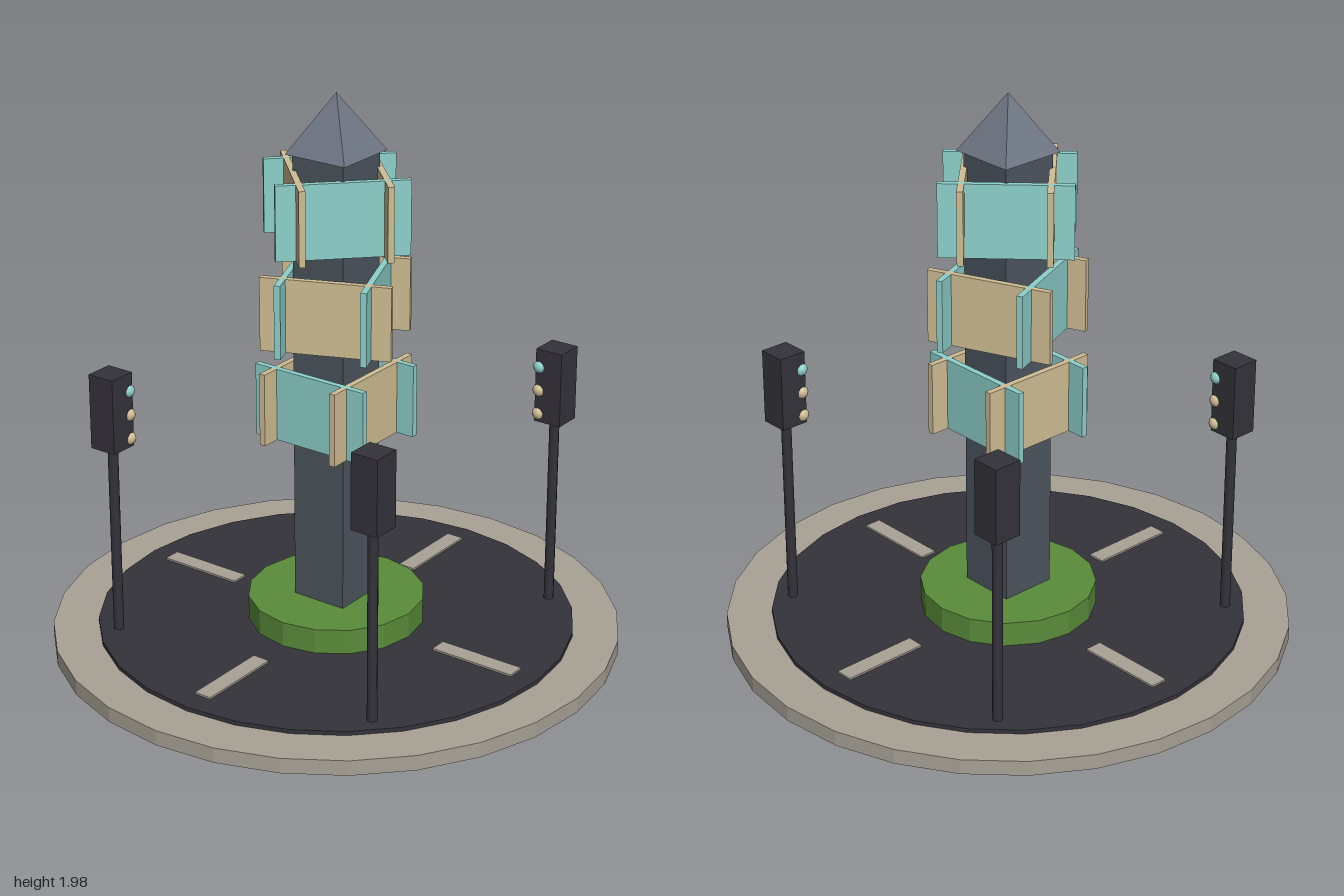
import * as THREE from 'three';

const mat = (name, color) => {
  const m = new THREE.MeshStandardMaterial({ color });
  m.name = name;
  return m;
};

export function createModel() {
  const stone = mat('stone', 0xa8a296);
  const asphalt = mat('asphalt', 0x35333b);
  const grass = mat('grass', 0x5a8c3a);
  const steel = mat('steel', 0x4c555e);
  const slate = mat('slate', 0x6f7684);
  const teal = mat('teal', 0x8dd0cb);
  const sand = mat('sand', 0xd0be93);

  const model = new THREE.Group();
  model.name = 'roundabout';

  const add = (parent, name, geometry, material, x = 0, y = 0, z = 0) => {
    const mesh = new THREE.Mesh(geometry, material);
    mesh.name = name;
    mesh.position.set(x, y, z);
    parent.add(mesh);
    return mesh;
  };
  // Faceted disc between two heights
  const disc = (name, r, y0, y1, sides, material) =>
    add(model, name, new THREE.CylinderGeometry(r, r, y1 - y0, sides).toNonIndexed(), material, 0, (y0 + y1) / 2)
      .geometry.computeVertexNormals();

  // Ground
  disc('pavement', 1, 0, 0.055, 28, stone);
  disc('road', 0.84, 0.055, 0.07, 28, asphalt);
  disc('island', 0.312, 0.07, 0.16, 16, grass);

  // Lane markings
  for (let i = 0; i < 4; i++) {
    const arm = new THREE.Group();
    arm.name = 'laneMarking';
    arm.rotation.y = i * Math.PI / 2;
    add(arm, 'stripe', new THREE.BoxGeometry(0.32, 0.008, 0.064), stone, 0.595, 0.073, 0);
    model.add(arm);
  }

  // Central tower with pyramid roof
  add(model, 'pillar', new THREE.BoxGeometry(0.208, 1.62, 0.208), steel, 0, 0.97, 0);
  const roof = new THREE.ConeGeometry(0.172, 0.205, 4).toNonIndexed();
  roof.computeVertexNormals();
  add(model, 'roof', roof, slate, 0, 1.8795, 0).rotation.y = Math.PI / 4;

  // Three tiers of crossing sign boards, each turned a little further
  [0.89, 1.242, 1.59].forEach((y, tier) => {
    const ring = new THREE.Group();
    ring.name = 'signTier';
    ring.position.y = y;
    ring.rotation.y = tier * Math.PI / 8;
    for (let i = 0; i < 4; i++) {
      const side = new THREE.Group();
      side.name = 'signSide';
      side.rotation.y = i * Math.PI / 2;
      add(side, 'signBoard', new THREE.BoxGeometry(0.452, 0.262, 0.022), (i + tier) % 2 ? sand : teal, 0, 0, 0.147);
      ring.add(side);
    }
    model.add(ring);
  });

  // Four traffic lights with lamps on the inner corner
  for (const sx of [-1, 1]) {
    for (const sz of [-1, 1]) {
      const light = new THREE.Group();
      light.name = 'trafficLight';
      light.position.set(sx * 0.545, 0, sz * 0.545);
      add(light, 'pole', new THREE.CylinderGeometry(0.018, 0.018, 0.71, 8), asphalt, 0, 0.42, 0);
      add(light, 'lampHousing', new THREE.BoxGeometry(0.103, 0.27, 0.103), asphalt, 0, 0.9, 0);
      [teal, sand, sand].forEach((m, i) =>
        add(light, 'lamp', new THREE.SphereGeometry(0.025, 12, 8), m, -sx * 0.04, 0.968 - i * 0.087, -sz * 0.04));
      model.add(light);
    }
  }
  return model;
}
